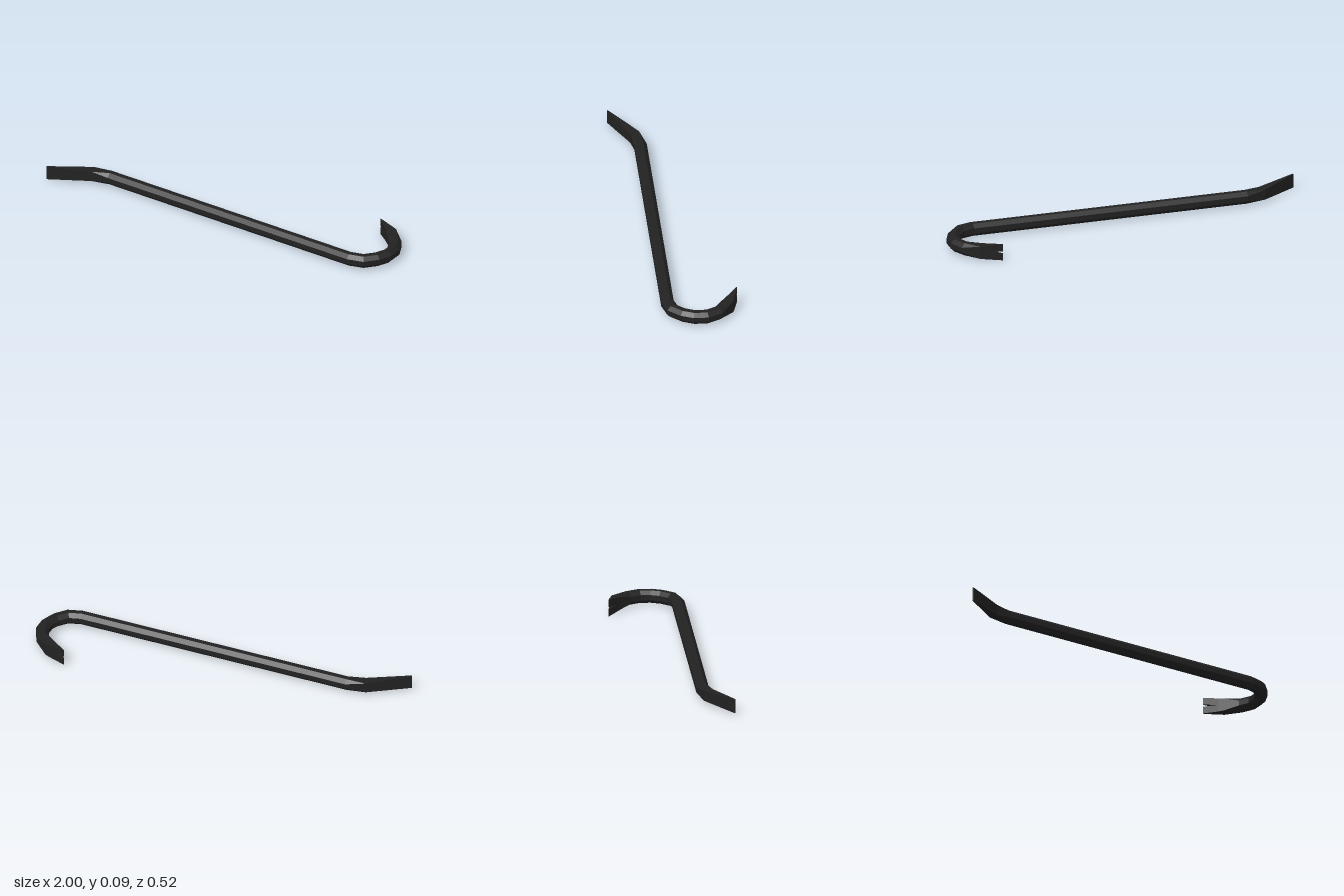
import * as THREE from 'three';

const CY = 0.045; // mid height of the bar
const OCT = 0.414; // corner ratio of a regular octagon; 1 gives a rectangle

// Path stations, tip to tip: [x, z, half thickness, half height, corner ratio]
const stations = [
  [-0.998, 0.257, 0.003, 0.038, 1],
  [-0.788, 0.133, 0.026, 0.028, 1],
  [-0.69, 0.111, 0.033, 0.034, OCT],
  [0.82, 0.111, 0.033, 0.034, OCT],
  [0.893, 0.09, 0.033, 0.034, OCT],
  [0.941, 0.036, 0.033, 0.034, OCT],
  [0.965, -0.02, 0.033, 0.034, OCT],
  [0.966, -0.083, 0.033, 0.034, OCT],
  [0.935, -0.147, 0.033, 0.034, OCT],
  [0.868, -0.208, 0.027, 0.034, 1],
  [0.838, -0.224, 0.019, 0.038, 1],
  [0.767, -0.259, 0.002, 0.045, 1],
];

// Mitred sideways direction at a station
function sideAt(i) {
  const dir = (a, b) => new THREE.Vector2(b[0] - a[0], b[1] - a[1]).normalize();
  const last = stations.length - 1;
  const before = dir(stations[Math.max(i - 1, 0)], stations[Math.max(i, 1)]);
  const after = dir(stations[Math.min(i, last - 1)], stations[Math.min(i + 1, last)]);
  const t = before.clone().add(after).normalize();
  const miter = 1 / t.dot(after);
  return new THREE.Vector2(-t.y * miter, t.x * miter);
}

function place(i, n, y) {
  const [x, z] = stations[i];
  const side = sideAt(i);
  return new THREE.Vector3(x + side.x * n, CY + y, z + side.y * n);
}

// Eight-sided section of the bar
function barRing(i) {
  const [, , t, h, c] = stations[i];
  return [[1, -c], [1, c], [c, 1], [-c, 1], [-1, c], [-1, -c], [-c, -1], [c, -1]]
    .map(([n, y]) => place(i, n * t, y * h));
}

// Four-sided section of a claw prong
function prongRing(i, y0, y1) {
  const t = stations[i][2];
  return [[t, y0], [t, y1], [-t, y1], [-t, y0]].map(([n, y]) => place(i, n, y));
}

// Skin and cap a run of sections with flat faces
function loft(rings) {
  const pos = [];
  const tri = (...pts) => {
    const area = new THREE.Triangle(...pts).getArea();
    if (area > 1e-9) pts.forEach((p) => pos.push(p.x, p.y, p.z));
  };
  const count = rings[0].length;
  for (let r = 0; r < rings.length - 1; r++) {
    for (let i = 0; i < count; i++) {
      const j = (i + 1) % count;
      const [a, b, c, d] = [rings[r][i], rings[r][j], rings[r + 1][j], rings[r + 1][i]];
      tri(a, c, b);
      tri(a, d, c);
    }
  }
  const end = rings[rings.length - 1];
  for (let i = 1; i < count - 1; i++) {
    tri(rings[0][0], rings[0][i], rings[0][i + 1]);
    tri(end[0], end[i + 1], end[i]);
  }
  const geometry = new THREE.BufferGeometry();
  geometry.setAttribute('position', new THREE.Float32BufferAttribute(pos, 3));
  geometry.computeVertexNormals();
  return geometry;
}

export function createModel() {
  const group = new THREE.Group();
  group.name = 'pryBar';
  const steel = new THREE.MeshStandardMaterial({ color: 0x222222 });
  steel.name = 'blackSteel';
  const add = (name, rings) => {
    const mesh = new THREE.Mesh(loft(rings), steel);
    mesh.name = name;
    group.add(mesh);
  };

  const range = (a, b) => Array.from({ length: b - a + 1 }, (_, k) => barRing(a + k));
  add('chiselBlade', range(0, 1));
  add('shaft', range(1, 3));
  add('hook', range(3, 8));
  add('clawRoot', range(8, 10));

  // Two prongs leaving a V notch between them
  const root = stations[10][3], tip = stations[11][3], gap = 0.006;
  add('upperProng', [prongRing(10, 0, root), prongRing(11, gap, tip)]);
  add('lowerProng', [prongRing(10, -root, 0), prongRing(11, -tip, -gap)]);
  return group;
}
